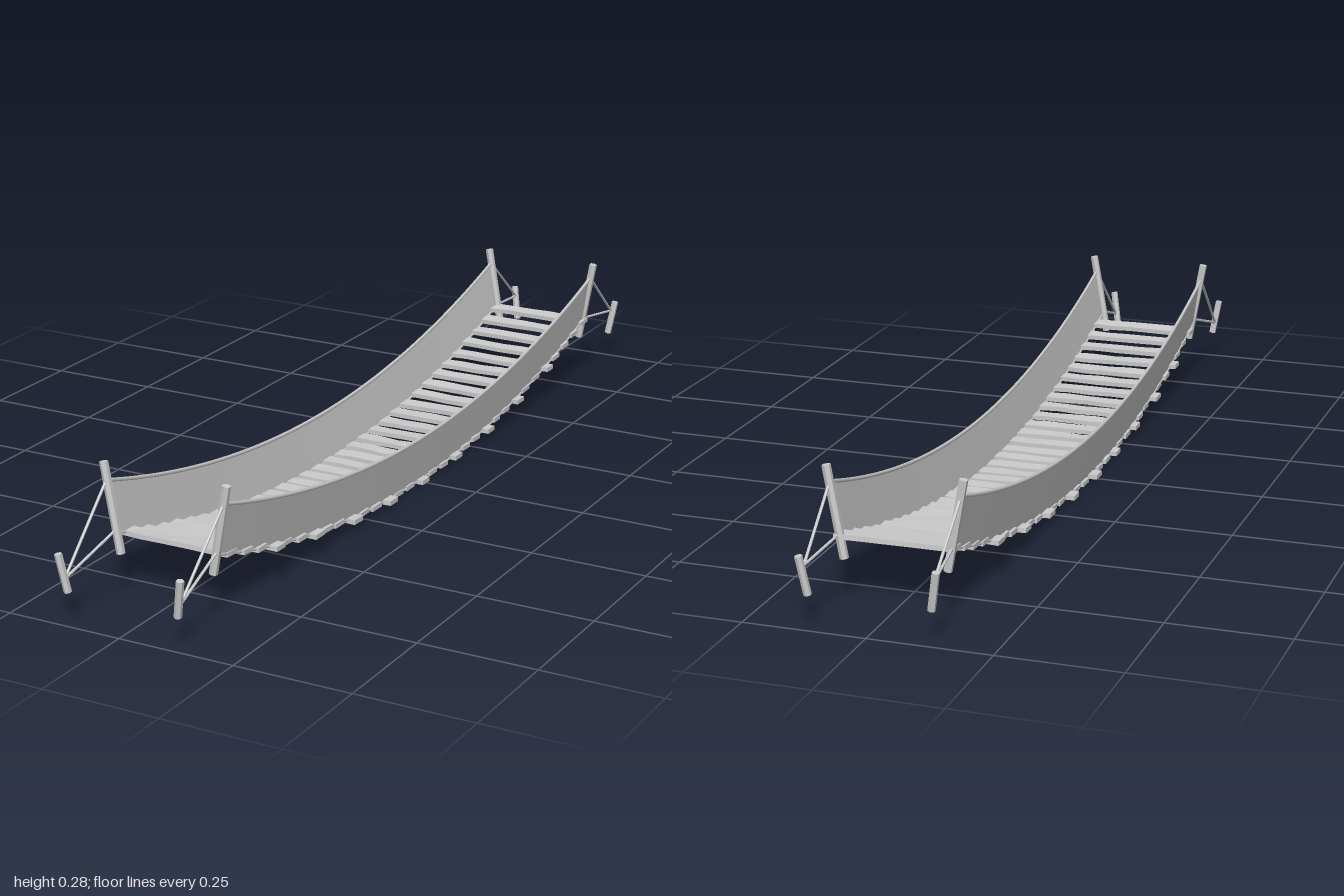
import * as THREE from 'three';

export function createModel() {
  const bridge = new THREE.Group();
  bridge.name = 'ropeBridge';
  const grey = new THREE.MeshStandardMaterial({ color: 0xcccccc, side: THREE.DoubleSide });
  grey.name = 'weatheredGrey';

  let seed = 7;
  const jitter = (amount) => {
    seed = (seed * 16807) % 2147483647;
    return (seed / 2147483647 - 0.5) * 2 * amount;
  };
  const add = (name, geometry, parent = bridge) => {
    const mesh = new THREE.Mesh(geometry, grey);
    mesh.name = name;
    parent.add(mesh);
    return mesh;
  };
  const V = (x, y, z) => new THREE.Vector3(x, y, z);

  // Straight rod between two points
  const rod = (name, a, b, radius) => {
    const dir = b.clone().sub(a);
    const geometry = new THREE.CylinderGeometry(radius, radius, dir.length(), 6).toNonIndexed();
    geometry.computeVertexNormals();
    const mesh = add(name, geometry);
    mesh.position.copy(a).add(b).multiplyScalar(0.5);
    mesh.quaternion.setFromUnitVectors(V(0, 1, 0), dir.normalize());
  };

  // Hanging curve shared by deck, ropes and side nets
  const front = 0.83, back = -0.845;
  const sag = (z) => 0.128 * (z / 0.838) ** 2;
  const hang = (x, y) => {
    const points = [];
    for (let i = 0; i <= 24; i++) {
      const z = back + ((front - back) * i) / 24;
      points.push(V(x, y + sag(z), z));
    }
    return points;
  };

  // Uneven planks, only slightly tilted; some reach out past the nets
  const deck = new THREE.Group();
  deck.name = 'deck';
  bridge.add(deck);
  const count = 32;
  for (let i = 0; i < count; i++) {
    const z = -0.832 + (1.615 * i) / (count - 1);
    const long = i % 3 === 1 && Math.abs(z) < 0.65;
    const box = new THREE.BoxGeometry(long ? 0.268 : 0.244, 0.01, 0.034, 5, 1, 1);
    const p = box.attributes.position;
    const edge = {};
    for (let k = 0; k < p.count; k++) {
      const key = `${p.getX(k).toFixed(3)},${Math.sign(p.getZ(k))}`;
      edge[key] ??= [jitter(0.001), jitter(0.0025)];
      p.setY(k, p.getY(k) + edge[key][0]);
      p.setZ(k, p.getZ(k) + edge[key][1]);
    }
    const geometry = box.toNonIndexed();
    geometry.computeVertexNormals();
    const plank = add('plank', geometry, deck);
    plank.position.set(jitter(0.003), 0.007 + sag(z), z);
    plank.rotation.set(-0.07 * z + jitter(0.02), jitter(0.012), jitter(0.008));
  }

  for (const s of [1, -1]) {
    const low = hang(s * 0.116, 0.006);
    const high = hang(s * 0.132, 0.112);

    // Handrail and deck ropes
    for (const [name, path, radius] of [['handRope', high, 0.004], ['deckRope', low, 0.003]]) {
      add(name, new THREE.TubeGeometry(new THREE.CatmullRomCurve3(path), 48, radius, 6));
    }

    // Side net as a thin ruled sheet
    const net = new THREE.PlaneGeometry(1, 1, 24, 1);
    [...high, ...low].forEach((v, k) => net.attributes.position.setXYZ(k, v.x, v.y, v.z));
    net.computeVertexNormals();
    add('sideNet', net);

    // End posts, ground stakes and anchor ropes
    for (const [z, stakeZ, tieY] of [[front, 0.985, 0.09], [back, -0.98, 0.122]]) {
      const out = Math.sign(z);
      rod('endPost', V(s * 0.105, 0.09, z), V(s * 0.138, 0.275, z), 0.009);
      rod('groundStake', V(s * 0.123, 0.064, stakeZ), V(s * 0.136, 0.143, stakeZ + out * 0.009), 0.008);
      const tie = V(s * 0.129, tieY, stakeZ);
      rod('upperAnchorRope', V(s * 0.132, 0.24, z), tie, 0.003);
      rod('lowerAnchorRope', V(s * 0.115, 0.138, z), tie, 0.003);
    }
  }
  return bridge;
}
